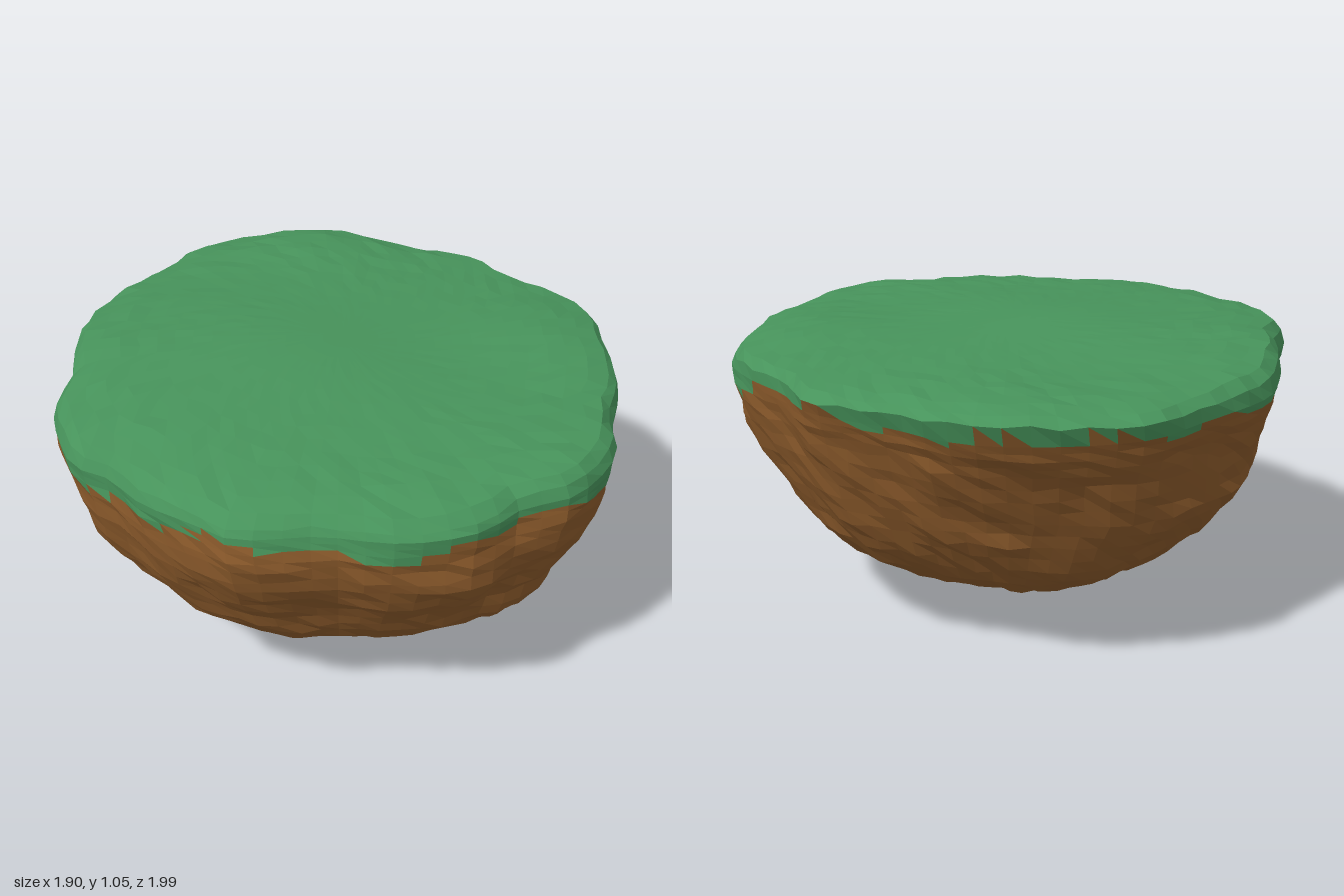
import * as THREE from 'three';

const SEGMENTS = 76;
const MEADOW_RINGS = 14;

// Rim outline seen from above, as x, z pairs ordered from +x towards +z
const OUTLINE = [
  [0.95, 0.1], [0.92, 0.25], [0.89, 0.36], [0.88, 0.52], [0.72, 0.75], [0.55, 0.82], [0.43, 0.93],
  [0.22, 0.99], [0.07, 0.98], [-0.05, 0.96], [-0.25, 0.98], [-0.33, 0.97], [-0.42, 0.91], [-0.6, 0.8],
  [-0.72, 0.67], [-0.83, 0.61], [-0.91, 0.45], [-0.95, 0.3], [-0.92, 0.15], [-0.94, 0], [-0.94, -0.12],
  [-0.91, -0.35], [-0.8, -0.54], [-0.7, -0.68], [-0.6, -0.83], [-0.45, -0.92], [-0.25, -0.98],
  [-0.1, -1], [0.05, -0.97], [0.2, -0.9], [0.5, -0.8], [0.63, -0.64], [0.8, -0.5], [0.93, -0.33], [0.94, -0.15],
];
const RIM_CURVE = new THREE.CatmullRomCurve3(OUTLINE.map(([x, z]) => new THREE.Vector3(x, 0, z)), true)
  .getPoints(210);

// Earth cross-sections: height, then reach towards +x, -x, +z, -z
const SECTIONS = [
  [0.92, 0.95, 0.95, 1.0, 0.97], [0.87, 0.95, 0.94, 1.0, 0.945], [0.8, 0.93, 0.91, 1.0, 0.9],
  [0.7, 0.91, 0.88, 0.97, 0.84], [0.6, 0.86, 0.86, 0.9, 0.78], [0.5, 0.8, 0.78, 0.83, 0.73],
  [0.4, 0.76, 0.7, 0.78, 0.66], [0.3, 0.71, 0.61, 0.69, 0.57], [0.2, 0.62, 0.46, 0.57, 0.42],
  [0.14, 0.5, 0.37, 0.48, 0.3], [0.09, 0.33, 0.29, 0.42, 0.15], [0.045, 0.19, 0.19, 0.37, -0.02],
  [0.015, 0.1, 0.11, 0.31, -0.11], [0.0, 0, 0, 0.22, -0.22],
];

// Low mounds on the meadow: x, z, height, spread
const MOUNDS = [
  [-0.3, 0.05, 0.045, 0.35], [0.74, -0.1, 0.022, 0.06], [-0.86, 0, 0.02, 0.05], [-0.1, -0.88, 0.022, 0.06],
];

// Bare earth at the back edge, in the same form
const BARE_SPOTS = [[-0.48, -0.88, 0.05, 0.04], [0.4, -0.84, 0.035, 0.03]];

// Sum of soft bumps at a point
function bumps(list, x, z) {
  return list.reduce((sum, [bx, bz, h, spread]) => sum + h * Math.exp(-((x - bx) ** 2 + (z - bz) ** 2) / spread), 0);
}

// Repeatable value in -1..1 for a pair of integers
function jitter(i, j) {
  const s = Math.sin(i * 127.1 + j * 311.7) * 43758.5453;
  return (s - Math.floor(s)) * 2 - 1;
}

// Smooth rolling noise, about -1..1
function roll(x, y, z) {
  return 0.4 * Math.sin(5 * x + 3 * y + 4 * z + 1) + 0.35 * Math.sin(8 * z - 6 * x + 9 * y)
    + 0.25 * Math.sin(13 * x + 11 * z - 15 * y + 2);
}

// Rim point at an angle: where the ray from the centre crosses the outline
function rimPoint(angle) {
  const dx = Math.cos(angle), dz = Math.sin(angle);
  for (let i = 0; i < RIM_CURVE.length - 1; i++) {
    const a = RIM_CURVE[i], b = RIM_CURVE[i + 1];
    const ca = dx * a.z - dz * a.x, cb = dx * b.z - dz * b.x;
    if (ca <= 0 && cb > 0 && a.x * dx + a.z * dz > 0) {
      const t = ca / (ca - cb);
      return [a.x + (b.x - a.x) * t, a.z + (b.z - a.z) * t];
    }
  }
  return [dx, dz];
}

// Gently rolling meadow, dropping a little towards the front
function meadowHeight(x, z) {
  return 1.007 + bumps(MOUNDS, x, z) - 0.02 * Math.max(0, z) ** 3 + 0.006 * roll(x, 0, z);
}

// All rings, from the middle of the meadow over the rim to the lowest tip
function buildRings() {
  const rim = Array.from({ length: SEGMENTS }, (_, j) => rimPoint((j / SEGMENTS) * Math.PI * 2));
  const rings = [];
  for (let i = 0; i <= MEADOW_RINGS; i++) {
    const f = i / MEADOW_RINGS;
    rings.push(rim.map(([x, z], j) => {
      const s = f * (0.95 + 0.01 * f * jitter(i, j + 200));
      return [x * s, meadowHeight(x * s, z * s) + 0.006 * f * f * jitter(i, j) - 0.018 * f ** 10, z * s];
    }));
  }
  // Rounded lip, sharper and higher at the back where it overhangs
  rings.push(rim.map(([x, z], j) => {
    const back = Math.max(0, -z) ** 4;
    const s = 0.985 + 0.015 * back + 0.005 * jitter(21, j);
    return [x * s, meadowHeight(x, z) - 0.048 + 0.015 * back + 0.007 * jitter(20, j), z * s];
  }));

  const steps = (SECTIONS.length - 1) * 2;
  for (let k = 0; k <= steps; k++) {
    const a = SECTIONS[Math.floor(k / 2)], b = SECTIONS[Math.ceil(k / 2)];
    const [y, px, nx, pz, nz] = a.map((v, n) => (v + b[n]) / 2);
    const depth = 1 - y / 0.92;
    const cz = 0.22 * depth * depth;
    const rough = Math.min(1, y / 0.2) * Math.min(1, k / 4);
    rings.push(rim.map(([rimX, rimZ], j) => {
      // The outline loses its detail with depth and grows fuller on the diagonals
      const angle = (j / SEGMENTS) * Math.PI * 2;
      const rx = THREE.MathUtils.lerp(rimX / 0.95, Math.cos(angle), depth);
      const rz = THREE.MathUtils.lerp(rimZ, Math.sin(angle), depth);
      const x = rx * (rx > 0 ? px : nx);
      const z = cz + rz * (rz > 0 ? pz - cz : nz + cz);
      const fullness = rimX < 0 && rimZ < 0 ? 0.11 : 0.075;
      const bulge = fullness * Math.abs(Math.sin(2 * angle)) * Math.sin(Math.PI * depth ** 1.4);
      const push = 1 + bulge + rough * (0.016 * roll(x, y * 1.5, z) + 0.008 * jitter(k + 40, j));
      const lift = rough * (0.009 * jitter(k + 90, j) + 0.012 * roll(z, y, x));
      return [x * push, y + lift, cz + (z - cz) * push];
    }));
  }
  return rings;
}

// Ragged height where grass gives way to earth
function grassLine(x, z) {
  const a = Math.atan2(z, x);
  return 0.87 + 0.022 * Math.sin(7 * a + 1) + 0.018 * Math.sin(17 * a) + 0.05 * Math.max(0, -z)
    + bumps(BARE_SPOTS, x, z);
}

function makeMesh(name, positions, color) {
  const geometry = new THREE.BufferGeometry();
  geometry.setAttribute('position', new THREE.Float32BufferAttribute(positions, 3));
  geometry.computeVertexNormals();
  const mesh = new THREE.Mesh(geometry, new THREE.MeshStandardMaterial({ color, flatShading: true }));
  mesh.name = name;
  return mesh;
}

export function createModel() {
  const rings = buildRings();
  const grass = [], earth = [];
  const addTriangle = (a, b, c, onTop) => {
    const [x, y, z] = [0, 1, 2].map((n) => (a[n] + b[n] + c[n]) / 3);
    (onTop || y > grassLine(x, z) ? grass : earth).push(...a, ...b, ...c);
  };

  // Stitch neighbouring rings; the first and last close to a point
  for (let i = 0; i < rings.length - 1; i++) {
    const onTop = i < MEADOW_RINGS;
    for (let j = 0; j < SEGMENTS; j++) {
      const n = (j + 1) % SEGMENTS;
      const a = rings[i][j], b = rings[i][n], c = rings[i + 1][n], d = rings[i + 1][j];
      if (i > 0) addTriangle(a, b, d, onTop);
      if (i < rings.length - 2) addTriangle(b, c, d, onTop);
    }
  }

  const island = new THREE.Group();
  island.name = 'floatingIsland';
  island.add(makeMesh('grassTop', grass, 0x47935b), makeMesh('earthUnderside', earth, 0x8b5a2b));
  return island;
}
